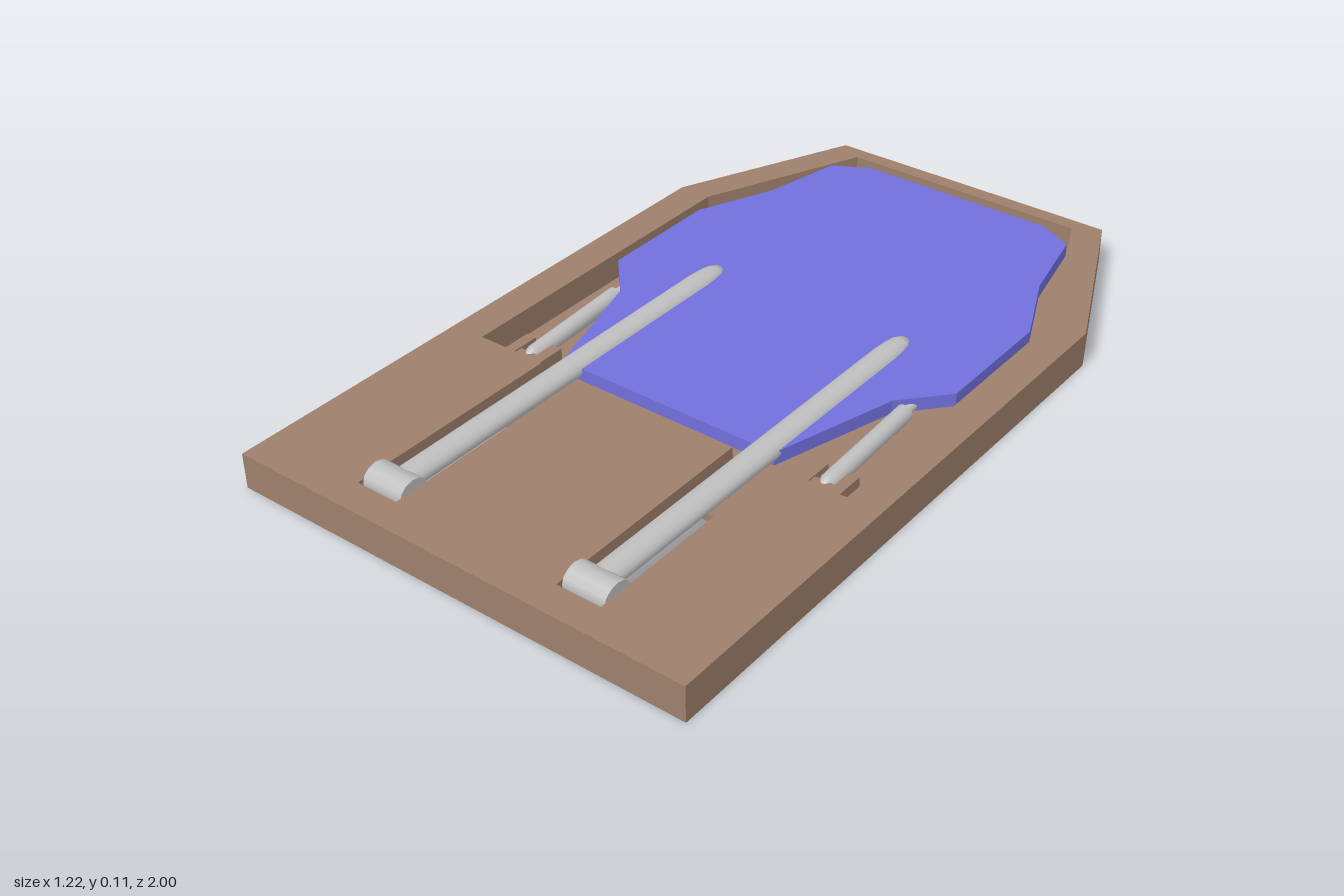
import * as THREE from 'three';

const wood = new THREE.MeshStandardMaterial({ color: 0x9e7f6c });
wood.name = 'brown';
const blue = new THREE.MeshStandardMaterial({ color: 0x7070dc });
blue.name = 'blue';
const metal = new THREE.MeshStandardMaterial({ color: 0xc0c0c0 });
metal.name = 'light grey';

// Mirrors a right-hand outline of [x, z] points, back to front, into a closed list
const mirrored = (half) => [...half, ...half.map(([x, z]) => [-x, z]).reverse()];
// Reversed so that outlines run counter-clockwise
const toPoints = (pts) => pts.map(([x, z]) => new THREE.Vector2(x, -z)).reverse();

// Flat slab from an [x, z] outline, spanning y0 to y1
function slab(name, outline, y0, y1, material, holes = []) {
  const shape = new THREE.Shape(toPoints(outline));
  for (const h of holes) shape.holes.push(new THREE.Path(toPoints(h)));
  const geo = new THREE.ExtrudeGeometry(shape, { depth: y1 - y0, bevelEnabled: false });
  geo.rotateX(-Math.PI / 2).translate(0, y0, 0);
  const mesh = new THREE.Mesh(geo, material);
  mesh.name = name;
  return mesh;
}

function box(name, w, h, d, x, y, z, material) {
  const mesh = new THREE.Mesh(new THREE.BoxGeometry(w, h, d), material);
  mesh.name = name;
  mesh.position.set(x, y, z);
  return mesh;
}

// Turned rod along z from a profile of [radius, z], z rising
function rod(name, profile, x, y, squash, tilt) {
  const geo = new THREE.LatheGeometry(profile.map(([r, z]) => new THREE.Vector2(r, z)), 16);
  geo.rotateX(Math.PI / 2).scale(1, squash, 1);
  const mesh = new THREE.Mesh(geo, metal);
  mesh.name = name;
  mesh.position.set(x, y, 0);
  mesh.rotation.x = tilt;
  return mesh;
}

export function createModel() {
  const model = new THREE.Group();
  model.name = 'hatch';

  // Base with a recess and two slots, built in layers
  const outer = mirrored([[0.402, -1], [0.612, -0.53], [0.612, 1]]);
  const recess = (end) => [
    [0.335, -0.96], [0.523, -0.53], [0.523, 0.342], [0.34, 0.342],
    [0.34, end], [0.225, end], [0.222, 0.342],
    [-0.222, 0.342], [-0.222, end], [-0.335, end], [-0.335, 0.342],
    [-0.523, 0.342], [-0.523, -0.53], [-0.335, -0.96],
  ];
  const slots = [[0.222, 0.34], [-0.335, -0.222]].map(([a, b]) => [
    [a, 0.49], [b, 0.49], [b, 0.99], [a, 0.99],
  ]);
  const base = new THREE.Group();
  base.name = 'base';
  base.add(
    slab('baseFloor', outer, 0, 0.02, wood, slots),
    slab('baseWalls', outer, 0.02, 0.084, wood, [recess(0.99)]),
    slab('baseTop', outer, 0.084, 0.091, wood, [recess(0.922)]),
  );
  model.add(base);

  // Lid lying in the recess
  model.add(slab('lid', mirrored([
    [0.27, -0.93], [0.365, -0.88], [0.412, -0.66], [0.5, -0.46],
    [0.5, -0.13], [0.4, -0.02], [0.305, 0.303],
  ]), 0.055, 0.089, blue));

  for (const s of [1, -1]) {
    const side = s > 0 ? 'left' : 'right';

    // Long lifting arm with a rounded tip and a hinge barrel
    const arm = new THREE.Group();
    arm.name = side + 'Arm';
    arm.add(rod('armRod', [
      [0, -0.26], [0.02, -0.256], [0.028, -0.235], [0.032, -0.205], [0.034, -0.17], [0.034, 0.86], [0, 0.86],
    ], s * 0.277, 0.08, 0.7, 0));
    const barrel = new THREE.Mesh(new THREE.CylinderGeometry(0.041, 0.041, 0.111, 12), metal);
    barrel.name = 'armHinge';
    barrel.geometry.rotateZ(Math.PI / 2).scale(1, 0.85, 1);
    barrel.position.set(s * 0.281 + 0.002, 0.08, 0.868);
    arm.add(barrel);
    model.add(arm);

    // Short piston, lower at the front, held in a bracket
    const piston = new THREE.Group();
    piston.name = side + 'Piston';
    const px = s * 0.427;
    piston.add(
      rod('pistonSleeve', [[0, -0.03], [0.022, -0.03], [0.022, 0.27], [0.012, 0.3], [0, 0.3]], px, 0.06, 1, 0.06),
      rod('pistonRod', [[0, -0.1], [0.012, -0.1], [0.012, -0.02]], px, 0.06, 1, 0.06),
      box('bracketBar', 0.06, 0.02, 0.025, px, 0.046, 0.295, wood),
    );
    for (const c of [1, -1]) {
      piston.add(box('bracketCheek', 0.028, 0.042, 0.095, px + c * 0.041, 0.039, 0.28, wood));
    }
    model.add(piston);
  }
  return model;
}
